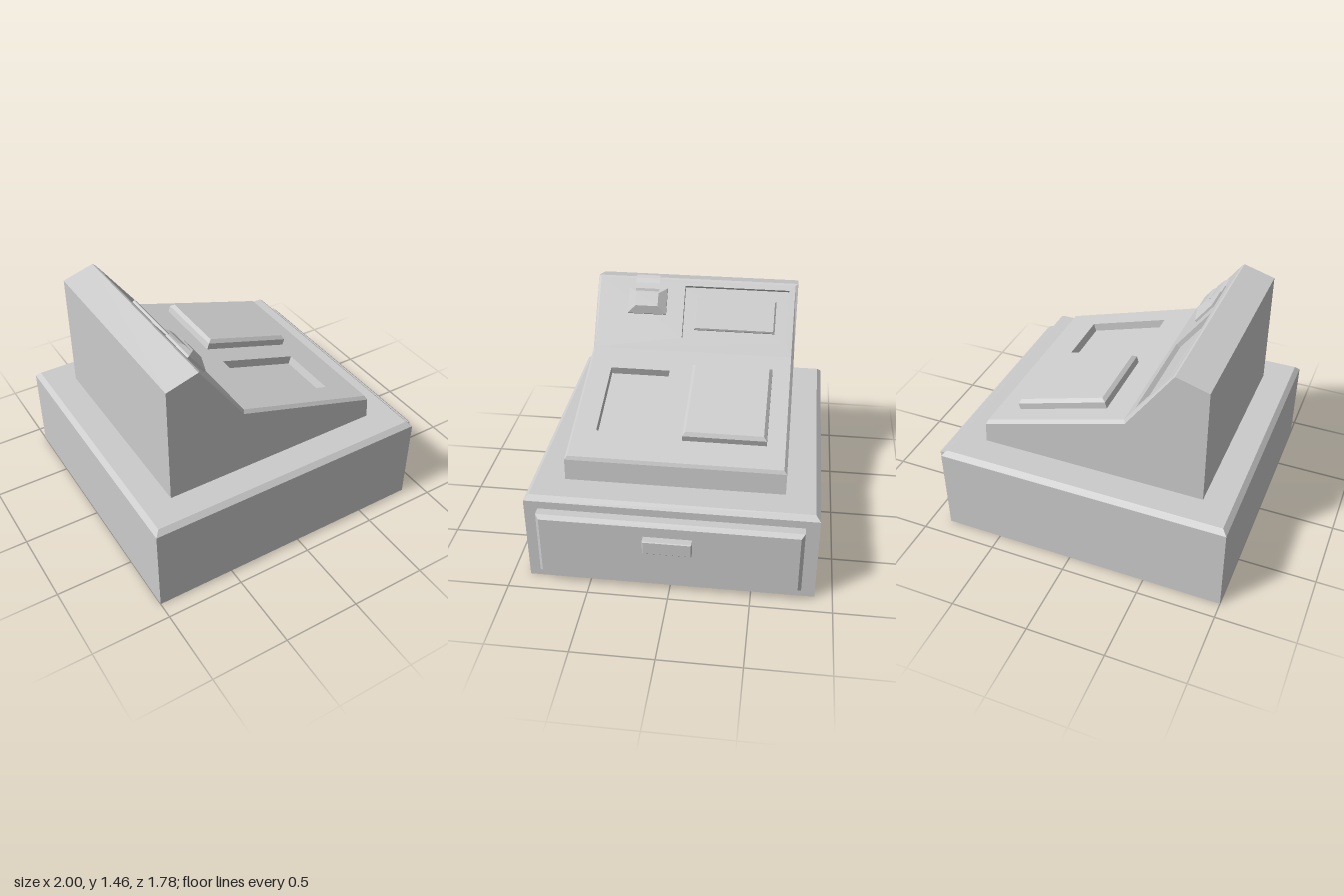
import * as THREE from 'three';

const material = new THREE.MeshStandardMaterial({ color: 0xcccccc, flatShading: true });

// Flat-faced geometry from a list of four-cornered faces
function quadGeometry(quads) {
  const pos = [];
  for (const [a, b, c, d] of quads) pos.push(...a, ...b, ...c, ...a, ...c, ...d);
  const g = new THREE.BufferGeometry();
  g.setAttribute('position', new THREE.Float32BufferAttribute(pos, 3));
  g.computeVertexNormals();
  return g;
}

function addMesh(parent, name, geometry, mat = material) {
  const mesh = new THREE.Mesh(geometry, mat);
  mesh.name = name;
  parent.add(mesh);
  return mesh;
}

// Work plane: local x runs down the slope, local z is its normal, local y is world -z
function slopeFrame(parent, name, x, y, angle) {
  const frame = new THREE.Group();
  frame.name = name;
  frame.position.set(x, y, 0);
  frame.rotation.set(-Math.PI / 2, 0, 0);
  frame.rotation.order = 'ZYX';
  frame.quaternion
    .setFromAxisAngle(new THREE.Vector3(0, 0, 1), -angle)
    .multiply(new THREE.Quaternion().setFromAxisAngle(new THREE.Vector3(1, 0, 0), -Math.PI / 2));
  parent.add(frame);
  return frame;
}

// Rectangular steps [u0, u1, z0, z1, height]; rising steps make a block, falling steps a recess
function stepped(steps, bottom = false) {
  const rings = steps.map(([u0, u1, z0, z1, h]) =>
    [[u0, -z1, h], [u1, -z1, h], [u1, -z0, h], [u0, -z0, h]]);
  const quads = [];
  for (let r = 0; r < rings.length - 1; r++) {
    for (let i = 0; i < 4; i++) {
      const j = (i + 1) % 4;
      quads.push([rings[r][i], rings[r][j], rings[r + 1][j], rings[r + 1][i]]);
    }
  }
  quads.push(rings[rings.length - 1]);
  if (bottom) quads.push([...rings[0]].reverse());
  return quadGeometry(quads);
}

// Chamfered block: straight wall from h0 to h1, then a bevel up to h2
function block(u0, u1, z0, z1, h0, h1, h2, inset, insetZ = inset, bottom = false) {
  return stepped([
    [u0, u1, z0, z1, h0],
    [u0, u1, z0, z1, h1],
    [u0 + inset, u1 - inset, z0 + insetZ, z1 - insetZ, h2],
  ], bottom);
}

// Flat panel with one rectangular opening
function panelWithOpening(length, halfWidth, [u0, u1, z0, z1]) {
  const shape = new THREE.Shape([[0, -halfWidth], [length, -halfWidth], [length, halfWidth], [0, halfWidth]]
    .map(p => new THREE.Vector2(...p)));
  shape.holes.push(new THREE.Path([[u0, -z1], [u0, -z0], [u1, -z0], [u1, -z1]]
    .map(p => new THREE.Vector2(...p))));
  return new THREE.ShapeGeometry(shape);
}

export function createModel() {
  const model = new THREE.Group();
  model.name = 'cashRegister';

  // Base cabinet with chamfered top edge
  const floor = slopeFrame(model, 'baseCabinet', 0, 0, 0);
  addMesh(floor, 'cabinet', block(-1, 0.87, -0.89, 0.89, 0, 0.57, 0.6, 0.03, 0.03, true));

  // Drawer and handle on the +x side
  const drawer = slopeFrame(model, 'drawer', 0.87, 0, Math.PI / 2);
  addMesh(drawer, 'drawerFront', block(-0.52, -0.09, -0.805, 0.805, 0, 0.055, 0.08, 0.022));
  addMesh(drawer, 'drawerHandle', block(-0.43, -0.34, -0.145, 0.15, 0.08, 0.125, 0.13, 0.005));

  // Console shell: outer side profile and the inset ridge of the sloping faces
  const W = 0.678, w = 0.66;
  const side = [[-0.79, 0.6], [-0.79, 1.378], [-0.585, 1.438], [-0.29, 1.022], [0.65, 0.737], [0.66, 0.6]];
  const ridge = [[-0.57, 1.43], [-0.28, 1.04], [0.64, 0.76]];
  const strip = (a, wa, b, wb) => [[...a, wa], [...b, wb], [...b, -wb], [...a, -wa]];
  const shell = [
    strip(side[0], W, side[1], W),
    strip(side[1], W, side[2], W),
    strip(side[2], W, ridge[0], w),
    strip(ridge[2], w, side[4], W),
    strip(side[4], W, side[5], W),
  ];
  for (let i = 0; i < 2; i++) {
    const edge = s => [[...side[i + 2], s * W], [...side[i + 3], s * W], [...ridge[i + 1], s * w], [...ridge[i], s * w]];
    shell.push(edge(1), edge(-1).reverse());
  }
  addMesh(model, 'consoleShell', quadGeometry(shell));
  const sideShape = new THREE.Shape(side.map(p => new THREE.Vector2(...p)));
  for (const s of [1, -1]) {
    const cheek = addMesh(model, s > 0 ? 'leftCheek' : 'rightCheek', new THREE.ShapeGeometry(sideShape));
    if (s < 0) cheek.geometry.scale(-1, 1, 1).rotateY(Math.PI);
    if (s < 0) {
      // Mirrored winding is turned back to face outward
      const index = cheek.geometry.index.array;
      for (let i = 0; i < index.length; i += 3) [index[i], index[i + 1]] = [index[i + 1], index[i]];
      cheek.geometry.computeVertexNormals();
    }
    cheek.position.z = s * W;
  }

  // Both sloping faces
  const faces = ['displaySlope', 'keySlope'].map((name, i) => {
    const [a, b] = [ridge[i], ridge[i + 1]];
    const frame = slopeFrame(model, name, a[0], a[1], Math.atan2(a[1] - b[1], b[0] - a[0]));
    return { frame, length: Math.hypot(b[0] - a[0], b[1] - a[1]) };
  });
  const [display, keys] = faces;

  // Recessed display with a raised screen
  const displayHole = [0.037, 0.393, -0.62, 0.08];
  addMesh(display.frame, 'displayPanel', panelWithOpening(display.length, w, displayHole));
  addMesh(display.frame, 'displayRecess', stepped([[...displayHole, 0], [...displayHole, -0.04]]));
  addMesh(display.frame, 'displayScreen', block(0.11, 0.329, -0.54, 0.005, -0.04, -0.025, -0.015, 0.01));

  // Receipt printer and curled paper
  addMesh(display.frame, 'receiptPrinter', block(0.064, 0.243, 0.197, 0.457, 0, 0.015, 0.053, 0.045, 0.055));
  const curl = [[-0.478, 1.365], [-0.487, 1.395], [-0.51, 1.425], [-0.535, 1.45], [-0.56, 1.462]];
  const paper = curl.slice(1).map((p, i) =>
    [[...curl[i], 0.25], [...curl[i], 0.41], [...p, 0.41], [...p, 0.25]]);
  const paperMaterial = material.clone();
  paperMaterial.side = THREE.DoubleSide;
  addMesh(model, 'receiptPaper', quadGeometry(paper), paperMaterial);

  // Recessed tray and raised keypad
  const trayHole = [0.188, 0.743, 0.13, 0.52];
  addMesh(keys.frame, 'keyPanel', panelWithOpening(keys.length, w, trayHole));
  addMesh(keys.frame, 'trayRecess', stepped([[...trayHole, 0], [...trayHole, -0.055]]));
  addMesh(keys.frame, 'keypad', block(0.165, 0.782, -0.545, -0.025, 0, 0.042, 0.063, 0.02));

  return model;
}
